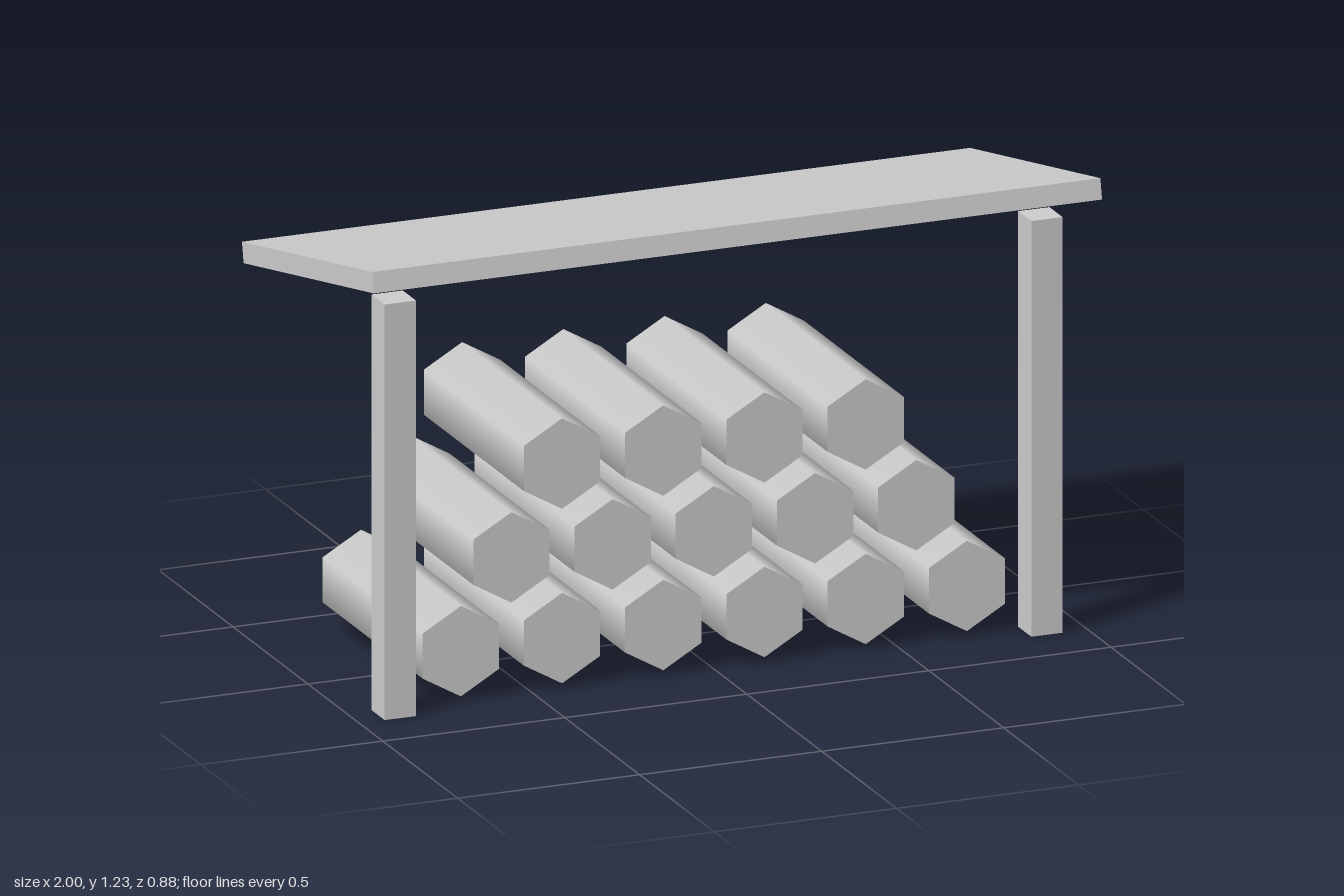
import * as THREE from 'three';

export function createModel() {
  const model = new THREE.Group();
  const material = new THREE.MeshStandardMaterial({ color: 0xcccccc });

  function addPart(name, geometry, x, y, z, parent = model) {
    const mesh = new THREE.Mesh(geometry, material);
    mesh.name = name;
    mesh.position.set(x, y, z);
    parent.add(mesh);
    return mesh;
  }

  // Sloping roof, higher at the front
  const roof = addPart('roof', new THREE.BoxGeometry(2, 0.055, 0.89), 0, 1.114, 0);
  roof.rotation.x = -THREE.MathUtils.degToRad(12);

  // Two front posts
  const postHeight = 1.112;
  const postGeometry = new THREE.BoxGeometry(0.086, postHeight, 0.088);
  for (const side of [-1, 1]) {
    addPart(side > 0 ? 'leftPost' : 'rightPost', postGeometry, side * 0.888, postHeight / 2, 0.301);
  }

  // Stack of six-sided logs lying front to back, one fewer in each row
  const logs = new THREE.Group();
  logs.name = 'logStack';
  model.add(logs);
  const logBack = -0.388, logFront = 0.28, spacing = 0.278;
  const logGeometry = new THREE.CylinderGeometry(0.121, 0.121, logFront - logBack, 6);
  logGeometry.rotateX(Math.PI / 2);
  for (let row = 0; row < 3; row++) {
    const count = 6 - row;
    for (let i = 0; i < count; i++) {
      addPart('log', logGeometry, (i - (count - 1) / 2) * spacing, 0.135 + row * 0.2335, (logFront + logBack) / 2, logs);
    }
  }

  return model;
}
